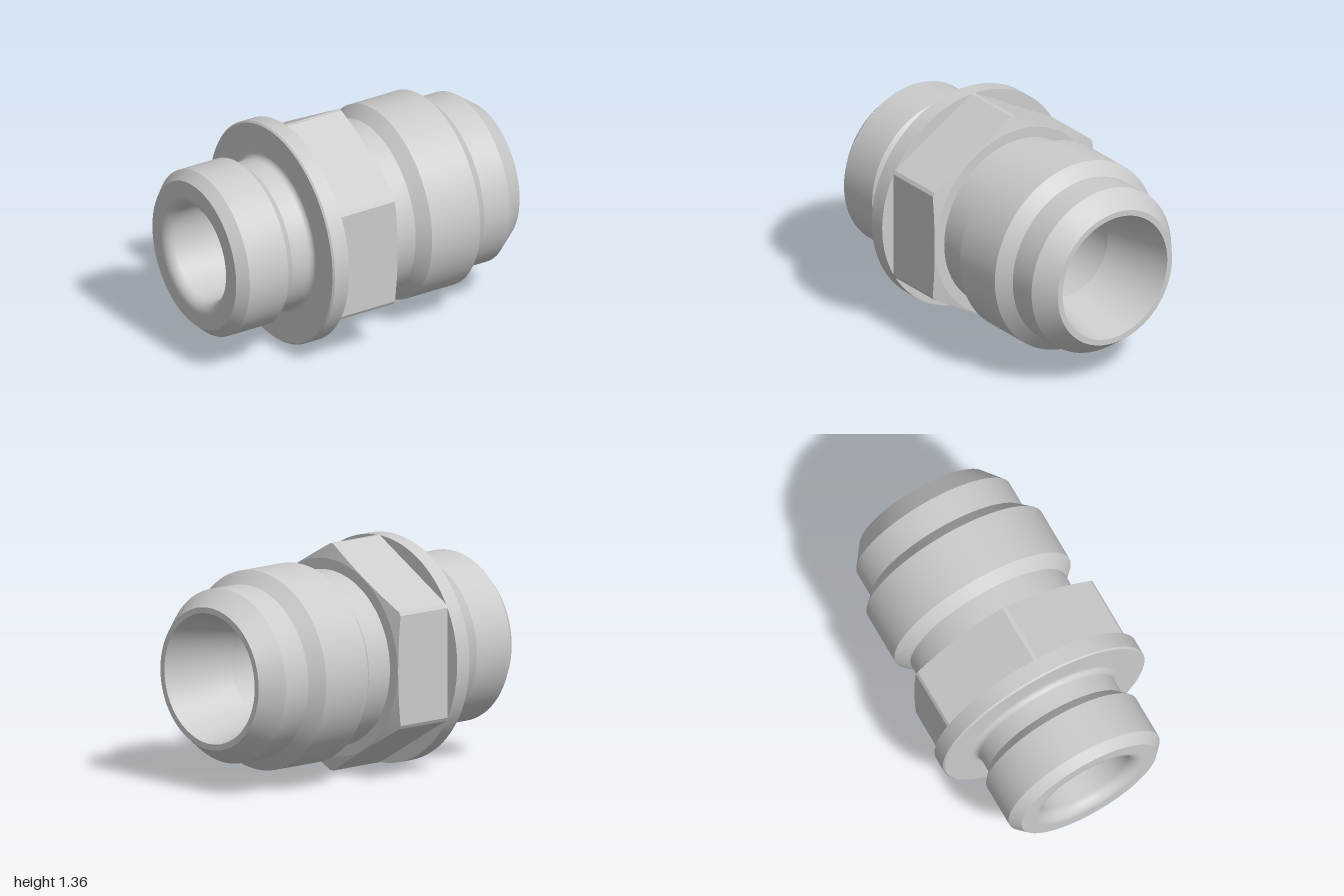
import * as THREE from 'three';
import { toCreasedNormals } from 'three/addons/utils/BufferGeometryUtils.js';

const AXIS_Y = 0.68;
const CREASE = 0.2;
const material = new THREE.MeshStandardMaterial({ color: 0xcccccc });

function part(name, geometry) {
  const mesh = new THREE.Mesh(toCreasedNormals(geometry, CREASE), material);
  mesh.name = name;
  mesh.position.y = AXIS_Y;
  return mesh;
}

// Turned part: profile of [x, radius] spun about the x axis
function turned(name, profile) {
  const points = profile.map(([x, r]) => new THREE.Vector2(r, x));
  return part(name, new THREE.LatheGeometry(points, 96).rotateZ(-Math.PI / 2));
}

// Quarter-round profile points about a centre, between two angles
function arc(cx, cr, radius, from, to, steps = 9) {
  return Array.from({ length: steps + 1 }, (_, i) => {
    const a = from + ((to - from) * i) / steps;
    return [cx + radius * Math.cos(a), cr + radius * Math.sin(a)];
  });
}

// Hexagon with rounded-off corners and a conical chamfer on its +x end
function hexGeometry() {
  const x0 = -0.355, x1 = 0.04, flat = 0.595, corner = 0.68, endR = 0.59, chamfer = 0.02;
  const half = Math.acos(flat / corner), steps = 14;
  const columns = [];
  for (let f = 0; f < 6; f++) {
    const mid = ((f + 0.5) * Math.PI) / 3;
    for (let s = 0; s <= steps; s++) {
      const a = -half + (2 * half * s) / steps;
      const r = flat / Math.cos(a);
      const xc = x1 - (chamfer * (r - endR)) / (corner - endR);
      const ring = [[x0, 0.5], [x0, r], [xc, r], [x1, endR], [x1, 0.5]];
      columns.push(ring.map(([x, q]) => [x, q * Math.cos(mid + a), q * Math.sin(mid + a)]));
    }
  }
  const rows = columns[0].length, index = [];
  columns.forEach((_, j) => {
    const next = (j + 1) % columns.length;
    for (let i = 0; i < rows - 1; i++) {
      const a = j * rows + i, b = next * rows + i;
      index.push(a, b, a + 1, b, b + 1, a + 1);
    }
  });
  const geometry = new THREE.BufferGeometry();
  geometry.setAttribute('position', new THREE.Float32BufferAttribute(columns.flat(2), 3));
  geometry.setIndex(index);
  return geometry;
}

export function createModel() {
  const group = new THREE.Group();
  group.name = 'pipeFitting';
  const PI = Math.PI;

  // Short stud end with chamfers, relief groove and fillet into the flange
  group.add(turned('studEnd', [
    [-1, 0.365], [-1, 0.455], [-0.94, 0.51], [-0.67, 0.51], [-0.61, 0.455],
    ...arc(-0.5, 0.49, 0.035, -PI / 2, 0),
    [-0.465, 0.55],
  ]));

  // Round flange behind the hexagon
  group.add(turned('flange', [
    [-0.465, 0.55], [-0.465, 0.67], [-0.455, 0.68], [-0.355, 0.68], [-0.355, 0.5],
  ]));

  group.add(part('hexNut', hexGeometry()));

  // Long connecting end with neck, collar and tapered nose
  group.add(turned('connectorEnd', [
    [0, 0.525], [0.21, 0.525], [0.28, 0.595], [0.615, 0.595], [0.69, 0.52],
    [0.87, 0.52], [1, 0.425], [1, 0.39],
  ]));

  // Through bore: conical mouth at +x, rounded mouth at -x
  group.add(turned('bore', [
    [1, 0.39], [0.55, 0.295],
    ...arc(-0.93, 0.365, 0.07, -PI / 2, -PI),
  ]));

  return group;
}
